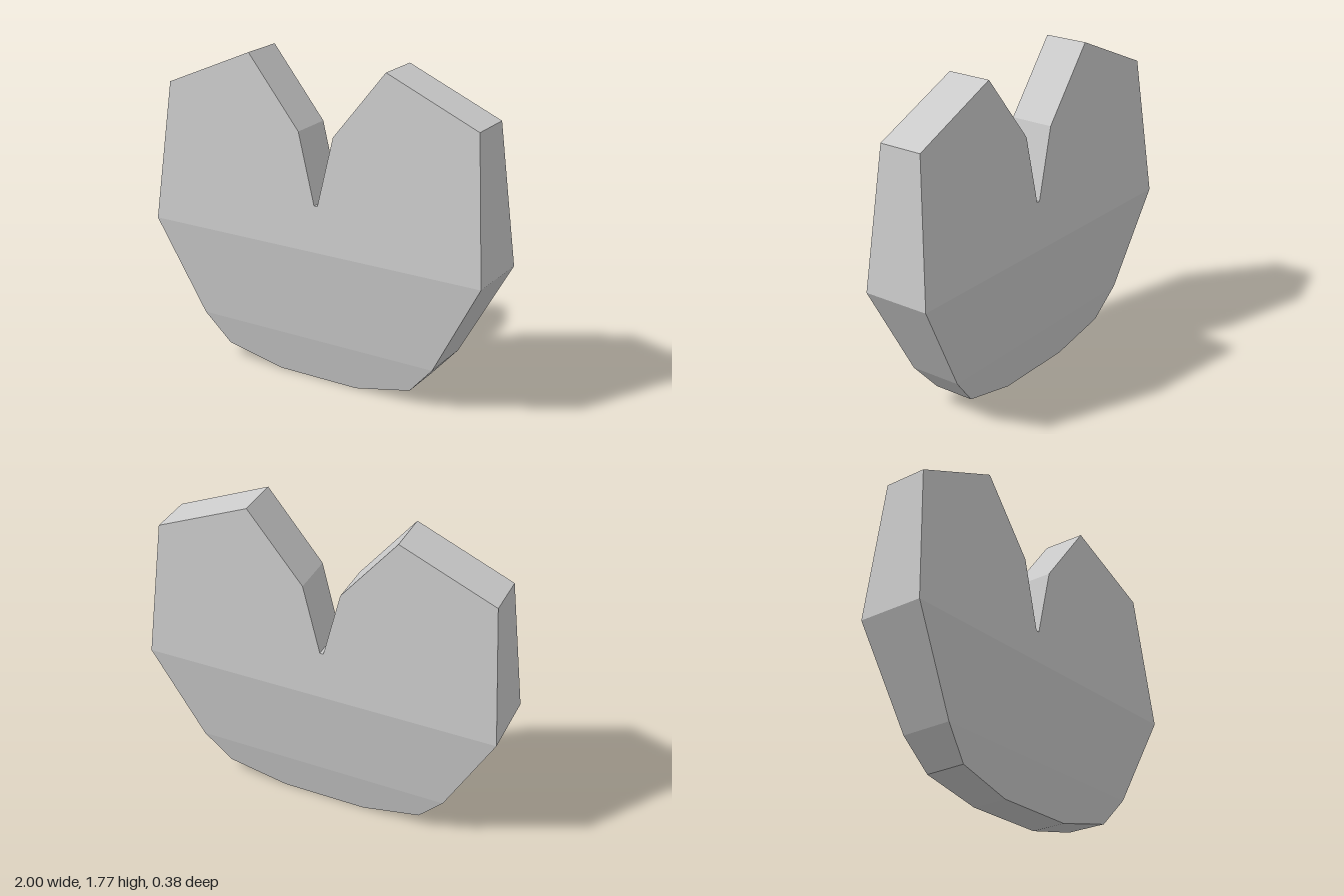
import * as THREE from 'three';

// Outline, counter-clockwise from the bottom right: x, y, half depth
const half = [
  [0.24, 0, 0.1], [0.575, 0.08, 0.115], [0.72, 0.245, 0.145], [1, 0.77, 0.19],
  [0.93, 1.545, 0.122], [0.41, 1.77, 0.122], [0.105, 1.39, 0.122], [0.01, 1, 0.122],
];
const outline = [...half, ...half.map(([x, y, d]) => [-x, y, d]).reverse()];

// Flat-looking facets: each facet is a list of triangles sharing one averaged normal
function facetGeometry(facets) {
  const positions = [], normals = [];
  const ab = new THREE.Vector3(), ac = new THREE.Vector3();
  for (const triangles of facets) {
    const normal = new THREE.Vector3();
    for (const [a, b, c] of triangles) {
      normal.add(ab.subVectors(b, a).cross(ac.subVectors(c, a)));
    }
    normal.normalize();
    for (const p of triangles.flat()) {
      positions.push(p.x, p.y, p.z);
      normals.push(normal.x, normal.y, normal.z);
    }
  }
  const geometry = new THREE.BufferGeometry();
  geometry.setAttribute('position', new THREE.Float32BufferAttribute(positions, 3));
  geometry.setAttribute('normal', new THREE.Float32BufferAttribute(normals, 3));
  return geometry;
}

export function createModel() {
  const stone = new THREE.MeshStandardMaterial({ color: 0xcccccc });
  stone.name = 'plain grey';

  const front = outline.map(([x, y, d]) => new THREE.Vector3(x, y, d));
  const back = outline.map(([x, y, d]) => new THREE.Vector3(x, y, -d));
  const pick = (triangles) => triangles.map((t) => t.map((i) => front[i]));

  // Broad face: notched upper part, tapering middle band, lower band
  const faceGeometry = facetGeometry([
    pick([[3, 4, 5], [3, 5, 6], [3, 6, 7], [3, 7, 8], [3, 8, 12],
      [12, 8, 11], [8, 9, 11], [9, 10, 11]]),
    pick([[2, 3, 12], [2, 12, 13]]),
    pick([[0, 1, 2], [0, 2, 13], [0, 13, 14], [0, 14, 15]]),
  ]);

  // Rim: one quad for each side of the outline
  const rimGeometry = facetGeometry(outline.map((_, i) => {
    const j = (i + 1) % outline.length;
    return [[front[i], back[i], back[j]], [front[i], back[j], front[j]]];
  }));

  const group = new THREE.Group();
  group.name = 'notchedSlab';
  const add = (name, geometry, turn = 0) => {
    const mesh = new THREE.Mesh(geometry, stone);
    mesh.name = name;
    mesh.rotation.y = turn;
    group.add(mesh);
  };
  add('frontFace', faceGeometry);
  add('backFace', faceGeometry, Math.PI);
  add('rim', rimGeometry);
  return group;
}
